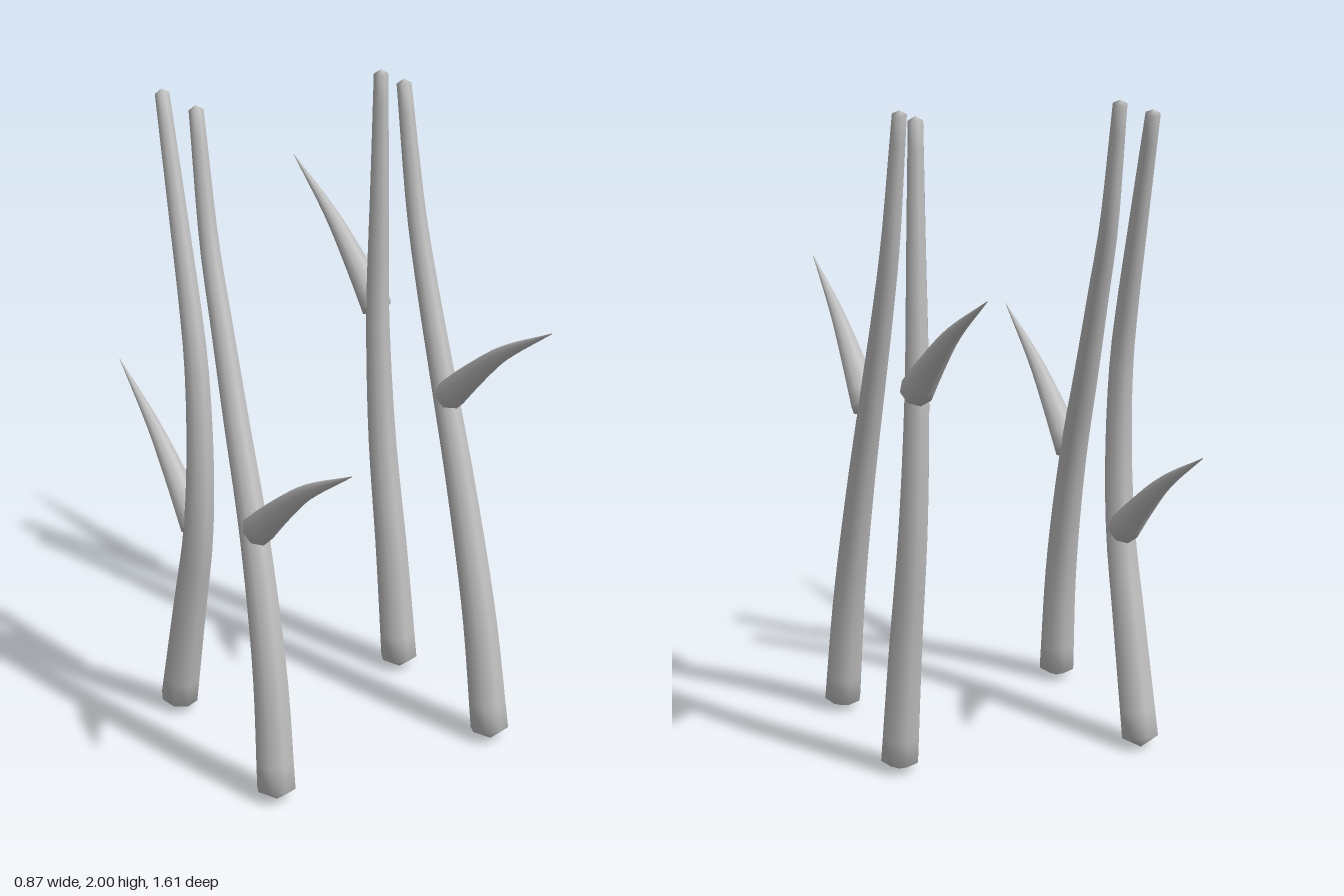
import * as THREE from 'three';

const SIDES = 8;

// Tapered round branch swept along points, with shallow cone caps at both ends
function taperedBranch(points, r0, r1, steps) {
  const curve = new THREE.CatmullRomCurve3(points.map(p => new THREE.Vector3(...p)));
  const rings = [[0, 0, -0.6 * r0]];
  for (let i = 0; i <= steps; i++) {
    const t = i / steps;
    rings.push([t, r0 + (r1 - r0) * t, 0]);
  }
  rings.push([1, 0, 0.6 * r1]);

  const positions = [], index = [];
  rings.forEach(([t, r, offset], i) => {
    const tangent = curve.getTangentAt(t);
    const centre = curve.getPointAt(t).addScaledVector(tangent, offset);
    const side = new THREE.Vector3(1, 0, 0).addScaledVector(tangent, -tangent.x).normalize();
    const normal = new THREE.Vector3().crossVectors(tangent, side);
    for (let j = 0; j < SIDES; j++) {
      const a = (j / SIDES) * Math.PI * 2;
      const p = centre.clone()
        .addScaledVector(side, r * Math.cos(a))
        .addScaledVector(normal, r * Math.sin(a));
      positions.push(p.x, p.y, p.z);
      if (i < rings.length - 1) {
        const k = i * SIDES, n = (j + 1) % SIDES;
        index.push(k + j, k + n, k + SIDES + j, k + n, k + SIDES + n, k + SIDES + j);
      }
    }
  });
  const geometry = new THREE.BufferGeometry();
  geometry.setAttribute('position', new THREE.Float32BufferAttribute(positions, 3));
  geometry.setIndex(index);
  geometry.computeVertexNormals();
  return geometry;
}

// Each stem: side of the model, [z, y] centre line, thorn root [z, y], thorn direction in z
const STEMS = [
  { name: 'frontRight', side: -1, dir: 1, thorn: [0.275, 0.83],
    path: [[0.4, 0.035], [0.352, 0.4], [0.25, 0.8], [0.13, 1.13], [0.035, 1.4], [-0.035, 1.6], [-0.12, 1.985]] },
  { name: 'frontLeft', side: 1, dir: 1, thorn: [0.16, 1.07],
    path: [[0.41, 0.035], [0.345, 0.4], [0.235, 0.8], [0.135, 1.1], [0.035, 1.4], [-0.022, 1.6], [-0.092, 1.985]] },
  { name: 'backRight', side: -1, dir: -1, thorn: [-0.138, 0.68],
    path: [[-0.25, 0.035], [-0.17, 0.4], [-0.115, 0.65], [-0.1, 0.9], [-0.123, 1.2], [-0.17, 1.4], [-0.228, 1.6], [-0.342, 1.985]] },
  { name: 'backLeft', side: 1, dir: -1, thorn: [-0.276, 1.222],
    path: [[-0.135, 0.035], [-0.178, 0.4], [-0.235, 0.8], [-0.256, 1.2], [-0.25, 1.4], [-0.24, 1.6], [-0.225, 1.985]] },
];

export function createModel() {
  const model = new THREE.Group();
  model.name = 'thornyStems';
  const grey = new THREE.MeshStandardMaterial({ color: 0xc0c0c0 });
  grey.name = 'lightGrey';

  for (const { name, side, dir, thorn, path } of STEMS) {
    const group = new THREE.Group();
    group.name = name + 'Stem';

    // Stem leans slightly towards the middle as it rises
    const stemPoints = path.map(([z, y]) => [side * (0.377 - 0.019 * y), y, z]);
    const stem = new THREE.Mesh(taperedBranch(stemPoints, 0.06, 0.023, 24), grey);
    stem.name = 'stem';

    // Curved thorn pointing outwards and up
    const [z, y] = thorn;
    const thornPoints = [[0, 0], [0.125, 0.105], [0.28, 0.223], [0.53, 0.367]]
      .map(([dz, dy]) => [side * (0.362 - 0.01 * dz), y + dy, z + dir * dz]);
    const spike = new THREE.Mesh(taperedBranch(thornPoints, 0.051, 0.001, 12), grey);
    spike.name = 'thorn';

    group.add(stem, spike);
    model.add(group);
  }
  return model;
}
